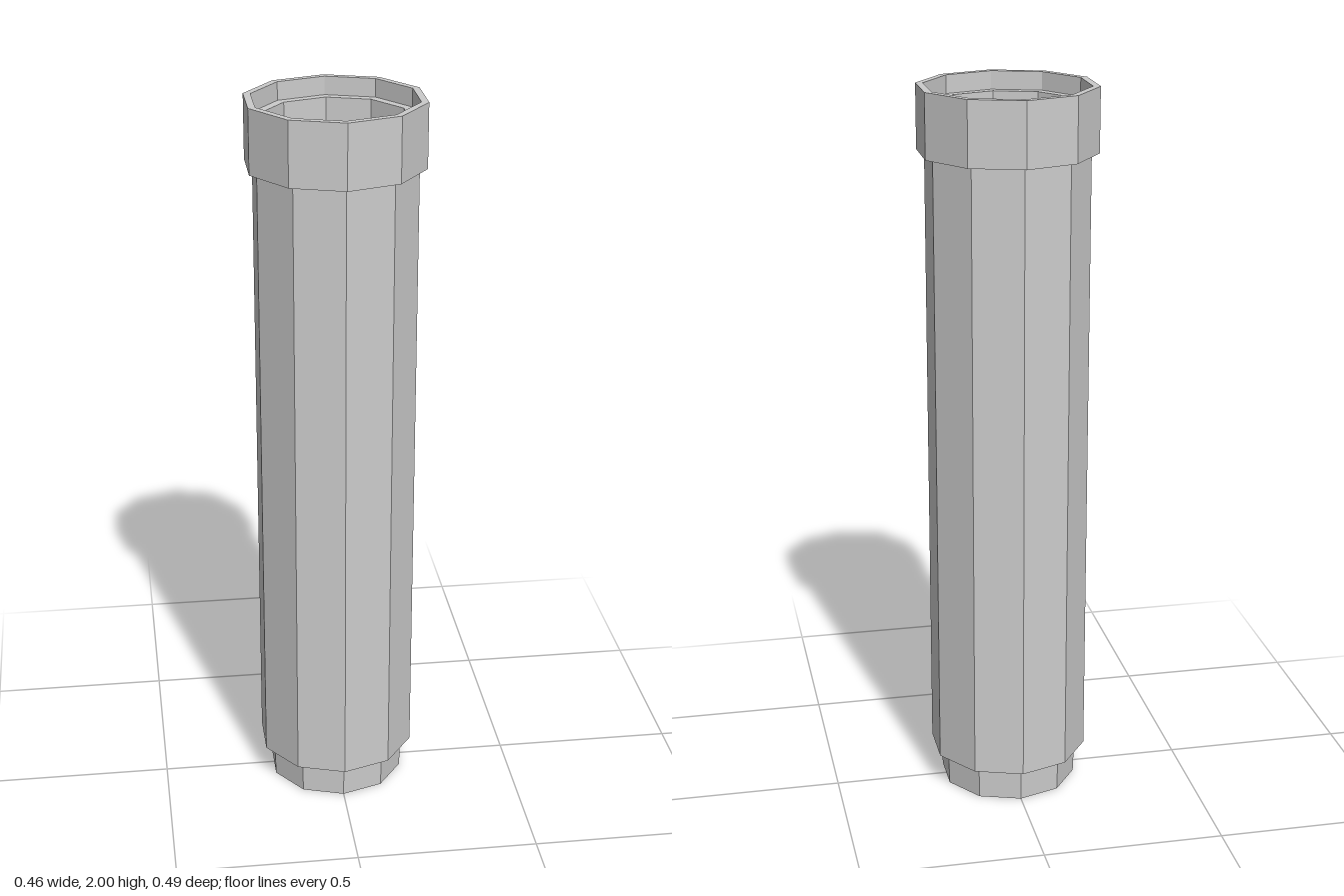
import * as THREE from 'three';

const SIDES = 10;

export function createModel() {
  const group = new THREE.Group();
  group.name = 'pipeSection';
  const material = new THREE.MeshStandardMaterial({ color: 0xcccccc, flatShading: true });

  // Turns a [radius, height] profile into a ten-sided ring with a corner facing +z.
  // Outer faces run upwards, inner faces downwards.
  function addRing(name, profile) {
    const points = profile.map(([r, y]) => new THREE.Vector2(r, y));
    const mesh = new THREE.Mesh(new THREE.LatheGeometry(points, SIDES), material);
    mesh.name = name;
    group.add(mesh);
  }

  // Narrow end that plugs into the next pipe, with its inner step
  addRing('spigot', [[0.194, 0.095], [0.185, 0.095], [0.185, 0], [0.192, 0], [0.195, 0.095]]);

  // Long barrel with a shoulder below and a slightly tapered bore
  addRing('barrel', [[0.195, 0.095], [0.222, 0.095], [0.222, 1.825]]);
  addRing('bore', [[0.198, 1.95], [0.194, 0.095]]);

  // Wide collar with a shallow socket and an inner ledge
  addRing('collar', [[0.222, 1.825], [0.243, 1.825], [0.243, 2], [0.223, 2], [0.223, 1.95], [0.198, 1.95]]);

  return group;
}
